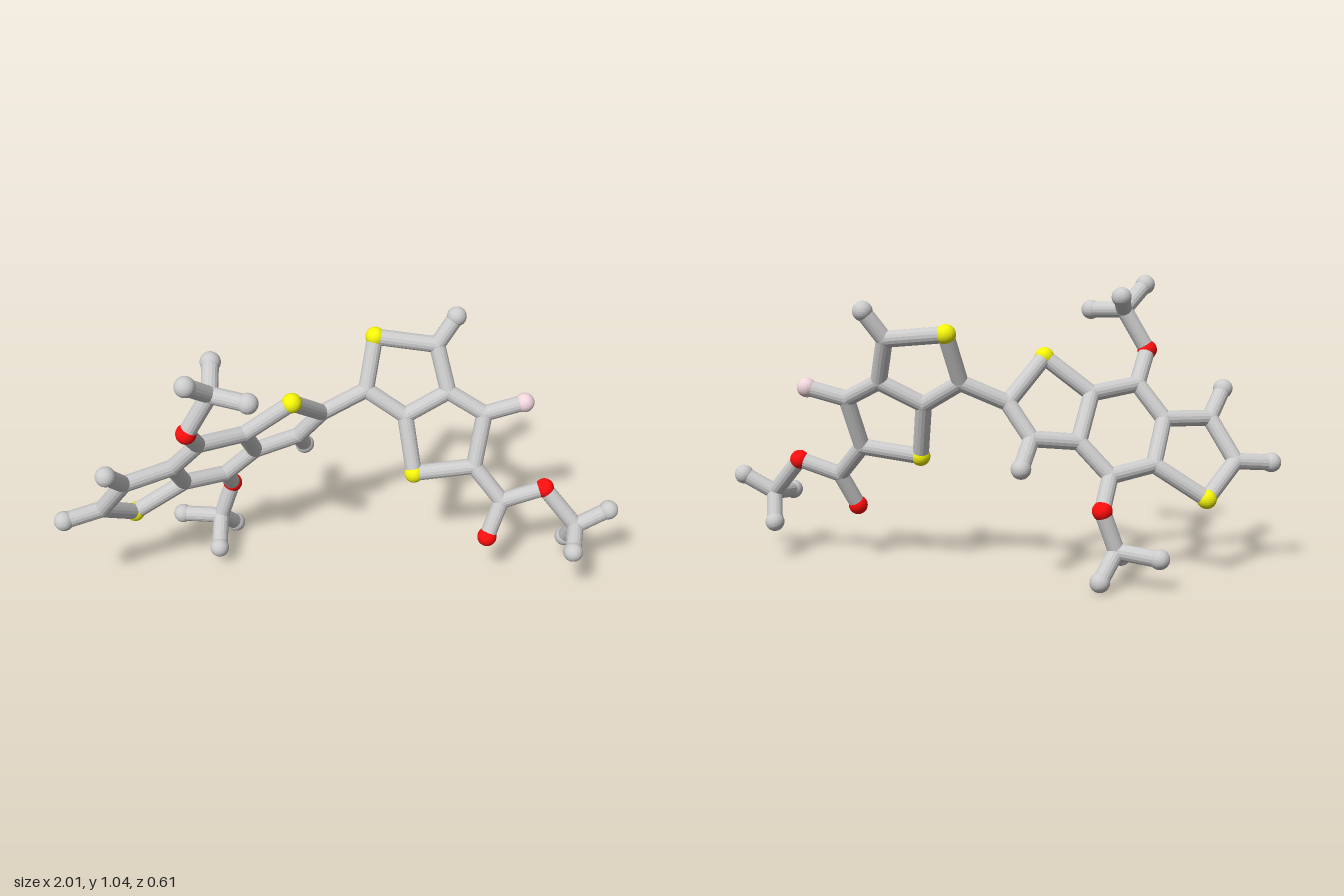
import * as THREE from 'three';

const STICK = 0.029;
const mat = (color) => new THREE.MeshStandardMaterial({ color, flatShading: true });
const grey = mat(0xcccccc), red = mat(0xff0d0d), yellow = mat(0xf5f50a), pink = mat(0xf0d5dc);

// Ball kinds: radius, material, part name
const KINDS = {
  joint: [0.0295, grey, 'stickJoint'],
  tip: [0.035, grey, 'endBall'],
  red: [0.035, red, 'redBall'],
  yellow: [0.035, yellow, 'yellowBall'],
  pink: [0.035, pink, 'pinkBall'],
};

// Each section: balls as id: [kind, x, y, z]
const SECTIONS = {
  fusedTripleRing: {
    h1: ['tip', -0.97, 0.39, 0.10], h2: ['tip', -0.80, 0.64, 0.20], h3: ['tip', -0.10, 0.415, -0.235],
    c1: ['joint', -0.84, 0.40, 0.06], c2: ['joint', -0.75, 0.545, 0.12],
    s1: ['yellow', -0.735, 0.287, -0.06], c3: ['joint', -0.585, 0.55, 0.05],
    c4: ['joint', -0.55, 0.405, -0.06], c5: ['joint', -0.49, 0.668, 0.09],
    c6: ['joint', -0.33, 0.643, 0.007], c7: ['joint', -0.29, 0.49, -0.11],
    c8: ['joint', -0.40, 0.377, -0.135], s2: ['yellow', -0.163, 0.768, 0.022],
    c9: ['joint', -0.13, 0.507, -0.16], c10: ['joint', -0.045, 0.625, -0.122],
  },
  upperBranch: {
    o1: ['red', -0.525, 0.78, 0.185], c11: ['joint', -0.44, 0.925, 0.182],
    h4: ['tip', -0.515, 1.01, 0.26], h5: ['tip', -0.43, 0.977, 0.065], h6: ['tip', -0.32, 0.92, 0.24],
  },
  lowerBranch: {
    o2: ['red', -0.375, 0.272, -0.217], c12: ['joint', -0.425, 0.13, -0.205],
    h7: ['tip', -0.57, 0.117, -0.25], h8: ['tip', -0.44, 0.08, -0.073], h9: ['tip', -0.37, 0.038, -0.272],
  },
  fusedDoubleRing: {
    c13: ['joint', 0.115, 0.695, -0.145], s3: ['yellow', 0.155, 0.867, -0.22],
    c14: ['joint', 0.37, 0.845, -0.177], h10: ['tip', 0.44, 0.942, -0.20],
    c15: ['joint', 0.405, 0.69, -0.107], c16: ['joint', 0.25, 0.61, -0.092],
    s4: ['yellow', 0.275, 0.412, -0.01], c17: ['joint', 0.53, 0.622, -0.055],
    f1: ['pink', 0.672, 0.66, -0.052], c18: ['joint', 0.49, 0.44, 0.01],
  },
  sideBranch: {
    c19: ['joint', 0.585, 0.325, 0.075], o3: ['red', 0.53, 0.20, 0.122],
    o4: ['red', 0.737, 0.375, 0.083], c20: ['joint', 0.85, 0.24, 0.143],
    h11: ['tip', 0.965, 0.303, 0.145], h12: ['tip', 0.81, 0.223, 0.27], h13: ['tip', 0.835, 0.14, 0.078],
  },
};

// Chains of balls joined by sticks
const CHAINS = [
  'c1 c2 c3 c4 s1 c1', 'h1 c1', 'h2 c2', 'c3 c5 c6 c7 c8 c4',
  'c6 s2 c10 c9 c7', 'h3 c9', 'c10 c13',
  'c5 o1 c11 h4', 'h5 c11 h6', 'c8 o2 c12 h7', 'h8 c12 h9',
  'c13 s3 c14 c15 c16 c13', 'c14 h10', 'c15 c17 c18 s4 c16', 'c17 f1',
  'c18 c19 o3', 'c19 o4 c20 h11', 'h12 c20 h13',
];

const UP = new THREE.Vector3(0, 1, 0);
const stickGeometry = new THREE.CylinderGeometry(STICK, STICK, 1, 16, 1, true);

function stick(a, b) {
  const mesh = new THREE.Mesh(stickGeometry, grey);
  const dir = b.clone().sub(a);
  mesh.name = 'stick';
  mesh.position.copy(a).add(b).multiplyScalar(0.5);
  mesh.scale.y = dir.length();
  mesh.quaternion.setFromUnitVectors(UP, dir.normalize());
  return mesh;
}

export function createModel() {
  const model = new THREE.Group();
  model.name = 'ballAndStickModel';
  const points = {};

  // Balls and joints, section by section
  const ballGeometry = new THREE.SphereGeometry(1, 24, 16);
  for (const [section, balls] of Object.entries(SECTIONS)) {
    const group = new THREE.Group();
    group.name = section;
    for (const [id, [kind, x, y, z]] of Object.entries(balls)) {
      const [radius, material, name] = KINDS[kind];
      const ball = new THREE.Mesh(ballGeometry, material);
      ball.name = name;
      ball.position.set(x, y, z);
      ball.scale.setScalar(radius);
      points[id] = ball.position;
      group.add(ball);
    }
    model.add(group);
  }

  // Connecting sticks
  const sticks = new THREE.Group();
  sticks.name = 'sticks';
  for (const chain of CHAINS) {
    const ids = chain.split(' ');
    for (let i = 1; i < ids.length; i++) sticks.add(stick(points[ids[i - 1]], points[ids[i]]));
  }
  model.add(sticks);
  return model;
}
